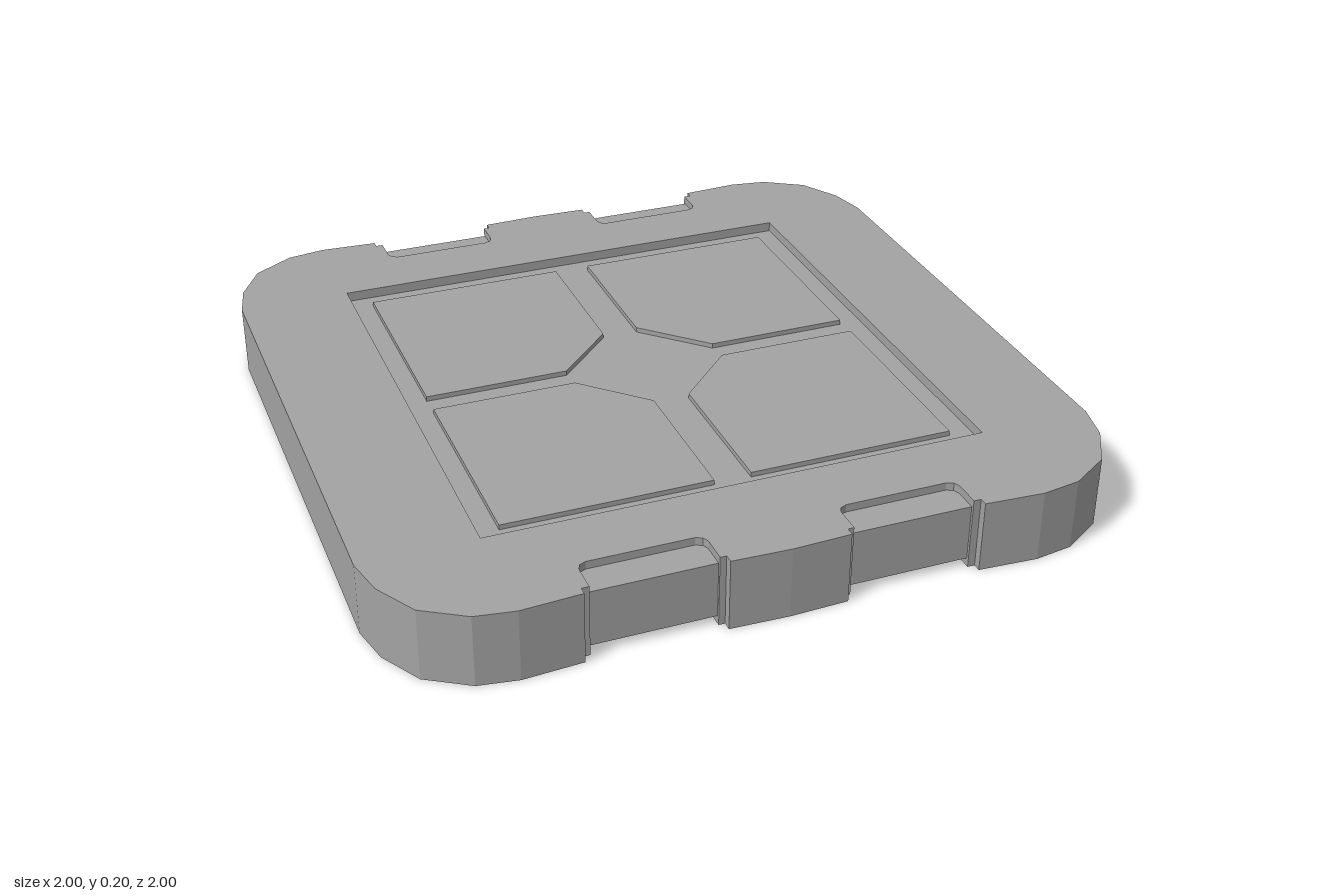
import * as THREE from 'three';

const HEIGHT = 0.2;
const RECESS = 0.028; // depth of the square recess on both faces
const PAD = 0.014; // height of the pads above the recess floor

// Extrudes a plan-view shape (x, -z) upward from y0 to y1
function slab(shape, y0, y1) {
  const geometry = new THREE.ExtrudeGeometry(shape, { depth: y1 - y0, bevelEnabled: false, curveSegments: 4 });
  geometry.rotateX(-Math.PI / 2);
  geometry.translate(0, y0, 0);
  return geometry;
}

// Half of one clip edge, from the middle of the edge to the rounded corner
const halfEdge = [
  [0, 0.998], [0.16, 0.992], [0.16, 0.968], [0.177, 0.968], [0.177, 0.895], [0.184, 0.878], [0.202, 0.87],
  [0.482, 0.87], [0.5, 0.878], [0.507, 0.895], [0.507, 0.968], [0.527, 0.968], [0.527, 0.99], [0.69, 1],
  [0.797, 0.983], [0.91, 0.913], [0.975, 0.8], [1, 0.69],
];

function frameShape() {
  const mirrored = (sx, sy) => halfEdge.map(([x, y]) => new THREE.Vector2(x * sx, y * sy));
  const shape = new THREE.Shape([
    ...mirrored(1, 1),
    ...mirrored(1, -1).reverse(),
    ...mirrored(-1, -1).slice(1),
    ...mirrored(-1, 1).reverse().slice(0, -1),
  ]);
  const s = 0.687;
  shape.holes.push(new THREE.Path([[-s, -s], [s, -s], [s, s], [-s, s]].map(([x, y]) => new THREE.Vector2(x, y))));
  return shape;
}

// Square pad with the corner nearest the centre cut off
function padShape(sx, sy) {
  const points = [[0.22, 0.035], [0.623, 0.035], [0.623, 0.63], [0.051, 0.63], [0.051, 0.203]];
  return new THREE.Shape(points.map(([x, y]) => new THREE.Vector2(x * sx, y * sy)));
}

export function createModel() {
  const model = new THREE.Group();
  model.name = 'squareTile';
  const grey = new THREE.MeshStandardMaterial({ color: 0xa3a3a3 });
  grey.name = 'grey';

  const add = (name, geometry, parent = model) => {
    const mesh = new THREE.Mesh(geometry, grey);
    mesh.name = name;
    parent.add(mesh);
    return mesh;
  };

  // Outer frame with clip notches and a square opening
  add('frame', slab(frameShape(), 0, HEIGHT));

  // Recessed floor filling the opening
  const floor = new THREE.BoxGeometry(1.38, HEIGHT - 2 * RECESS, 1.38);
  add('recessedPanel', floor).position.y = HEIGHT / 2;

  // Four pads raised on both faces
  const pads = new THREE.Group();
  pads.name = 'pads';
  model.add(pads);
  for (const sx of [-1, 1]) {
    for (const sy of [-1, 1]) {
      add('pad', slab(padShape(sx, sy), RECESS - PAD, HEIGHT - RECESS + PAD), pads);
    }
  }

  // Sunken clip bars inside the notches
  const clips = new THREE.Group();
  clips.name = 'clipBars';
  model.add(clips);
  for (const sx of [-1, 1]) {
    for (const sz of [-1, 1]) {
      const bar = add('clipBar', new THREE.BoxGeometry(0.34, HEIGHT - 0.044, 0.108), clips);
      bar.position.set(sx * 0.342, HEIGHT / 2, sz * 0.906);
    }
  }
  return model;
}
